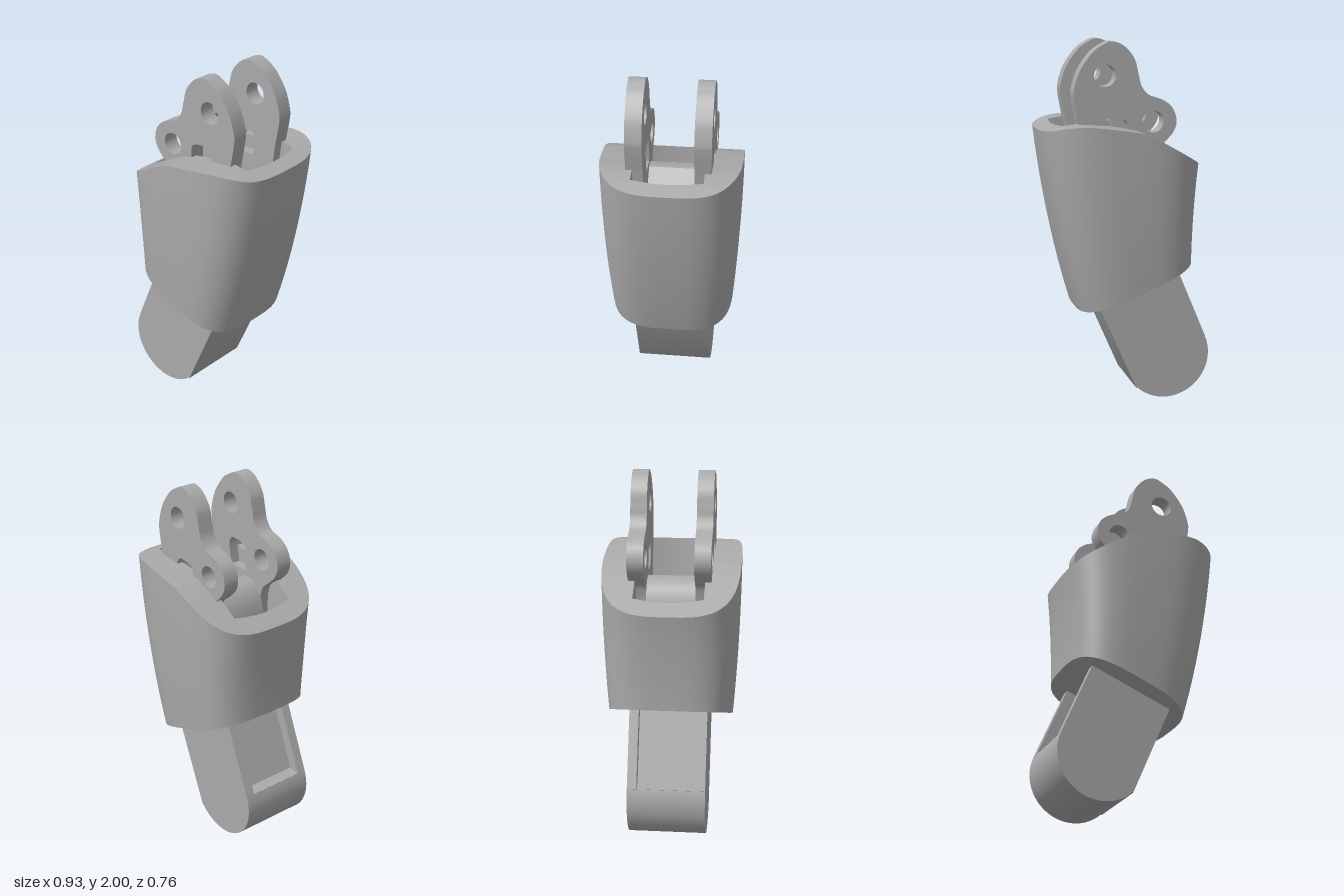
import * as THREE from 'three';
import { toCreasedNormals } from 'three/addons/utils/BufferGeometryUtils.js';

const grey = new THREE.MeshStandardMaterial({ color: 0xaaaaaa });
grey.name = 'plain grey';

function addMesh(parent, name, geometry) {
  const mesh = new THREE.Mesh(toCreasedNormals(geometry, 0.55), grey);
  mesh.name = name;
  parent.add(mesh);
  return mesh;
}

// Extrude a profile in the xy plane from z0 to z1
function slab(shape, z0, z1) {
  const g = new THREE.ExtrudeGeometry(shape, { depth: z1 - z0, bevelEnabled: false, curveSegments: 24 });
  return g.translate(0, 0, z0);
}

const vecs = (pts) => pts.map(([x, y]) => new THREE.Vector2(x, y));

// Join closed rings of equal length into one skin
function skin(rings) {
  const n = rings[0].length, index = [];
  for (let i = 0; i < rings.length - 1; i++) {
    for (let j = 0; j < n; j++) {
      const k = (j + 1) % n;
      const a = i * n + j, b = i * n + k, c = a + n, d = b + n;
      if (i > 0) index.push(a, d, b);
      if (i < rings.length - 2) index.push(a, c, d);
    }
  }
  const g = new THREE.BufferGeometry();
  g.setAttribute('position', new THREE.Float32BufferAttribute(rings.flat(2), 3));
  g.setIndex(index);
  return g;
}

// Wavy rim height and slanted lower edge as functions of x
const rimPoints = [[-0.42, 1.32], [-0.3, 1.39], [-0.15, 1.475], [-0.05, 1.522], [0.05, 1.54],
  [0.2, 1.56], [0.28, 1.565], [0.37, 1.553], [0.465, 1.525]];
function rimY(x) {
  let i = 0;
  while (i < rimPoints.length - 2 && x > rimPoints[i + 1][0]) i++;
  const [x0, y0] = rimPoints[i], [x1, y1] = rimPoints[i + 1];
  return y0 + (y1 - y0) * (x - x0) / (x1 - x0);
}
const hemY = (x) => 0.78 - 0.4 * (x + 0.385);

function sleeveGeometry() {
  const N = 96, n = 3.3, floorY = 1.0;
  const ring = (f) => Array.from({ length: N }, (_, j) => {
    const t = (j / N) * Math.PI * 2;
    return f(Math.cos(t), Math.sin(t));
  });
  // Rounded-rectangle section, v = 0 at the hem and 1 at the rim
  const outer = (v) => ring((c, s) => {
    const r = Math.pow(Math.abs(c) ** n + Math.abs(s) ** n, -1 / n);
    const left = -0.385 - 0.035 * v + 0.008 * v * (1 - v) * 4;
    const right = 0.265 + 0.2 * v + 0.02 * v * (1 - v) * 4;
    const x = (left + right) / 2 + (right - left) / 2 * c * r;
    const z = (0.345 + 0.035 * v * (2 - v)) * s * r;
    return [x, hemY(x) + (rimY(x) - hemY(x)) * v, z];
  });
  // Rectangular socket with bowed ends
  const inner = (left, right, y) => ring((c, s) => {
    const m = Math.max(Math.abs(c), Math.abs(s)), p = c / m, q = s / m;
    const x = (left + right) / 2 + p * ((right - left) / 2 - 0.023 * q * q);
    return [x, y ?? rimY(x), 0.19 * q];
  });
  const rings = [ring(() => [-0.06, hemY(-0.06), 0])];
  for (let i = 0; i <= 12; i++) rings.push(outer(i / 12));
  const rim = outer(1), mouth = inner(-0.33, 0.38);
  for (let i = 1; i <= 4; i++) {
    rings.push(rim.map((p, j) => {
      const x = p[0] + (mouth[j][0] - p[0]) * i / 4;
      return [x, rimY(x), p[2] + (mouth[j][2] - p[2]) * i / 4];
    }));
  }
  rings.push(inner(-0.325, 0.32, floorY), ring(() => [0, floorY, 0]));
  return skin(rings);
}

// Hinge plate with two pin holes and a slot
function hingeShape(slotTop) {
  const s = new THREE.Shape();
  s.moveTo(0.2, 0.95);
  s.lineTo(0.275, 1.56);
  s.splineThru(vecs([[0.298, 1.69], [0.298, 1.75], [0.265, 1.85], [0.2, 1.94], [0.145, 1.98], [0.09, 2.0],
    [0.025, 1.975], [-0.03, 1.91], [-0.053, 1.83], [-0.07, 1.765], [-0.11, 1.715], [-0.19, 1.685],
    [-0.245, 1.64], [-0.268, 1.57], [-0.25, 1.51], [-0.2, 1.455], [-0.15, 1.41], [-0.13, 1.34]]));
  s.lineTo(-0.13, 0.95);
  for (const [x, y] of [[0.13, 1.82], [-0.135, 1.57]]) {
    s.holes.push(new THREE.Path().absarc(x, y, 0.06, 0, Math.PI * 2, true));
  }
  const slot = new THREE.Path();
  slot.moveTo(0, 1.46);
  slot.lineTo(0, slotTop - 0.035);
  slot.quadraticCurveTo(0.01, slotTop - 0.005, 0.05, slotTop);
  slot.lineTo(0.1, slotTop + 0.005);
  slot.quadraticCurveTo(0.14, slotTop, 0.14, slotTop - 0.05);
  slot.lineTo(0.12, 1.46);
  s.holes.push(slot);
  return s;
}

// Lower stub outline; the recessed version cuts a pocket in its left edge
function stubShape(recessed) {
  const s = new THREE.Shape();
  s.moveTo(0.25, 0.76);
  s.lineTo(-0.25, 0.82);
  if (recessed) {
    s.lineTo(-0.285, 0.74);
    s.lineTo(-0.23, 0.72);
    s.lineTo(-0.385, 0.345);
  }
  s.lineTo(-0.452, 0.34);
  s.absarc(-0.225, 0.245, 0.245, Math.PI * 0.875, Math.PI * 1.745, false);
  s.lineTo(-0.05, 0.065);
  s.lineTo(0.165, 0.56);
  return s;
}

export function createModel() {
  const model = new THREE.Group();
  model.name = 'jointedSegment';

  addMesh(model, 'sleeve', sleeveGeometry());

  // Upper hinge
  addMesh(model, 'frontHingePlate', slab(hingeShape(1.62), 0.135, 0.225));
  addMesh(model, 'backHingePlate', slab(hingeShape(1.59), -0.225, -0.135));
  const web = new THREE.Shape();
  web.moveTo(-0.16, 0.95);
  web.lineTo(0.2, 0.95);
  web.lineTo(0.2, 1.22);
  web.lineTo(0.005, 1.43);
  web.lineTo(-0.05, 1.43);
  web.quadraticCurveTo(-0.14, 1.4, -0.16, 1.25);
  addMesh(model, 'hingeWeb', slab(web, -0.135, 0.135));

  // Lower stub: pocketed core between two cheeks
  const stub = new THREE.Group();
  stub.name = 'lowerStub';
  model.add(stub);
  addMesh(stub, 'stubCore', slab(stubShape(true), -0.163, 0.163));
  addMesh(stub, 'frontStubCheek', slab(stubShape(false), 0.163, 0.215));
  addMesh(stub, 'backStubCheek', slab(stubShape(false), -0.215, -0.163));

  return model;
}
